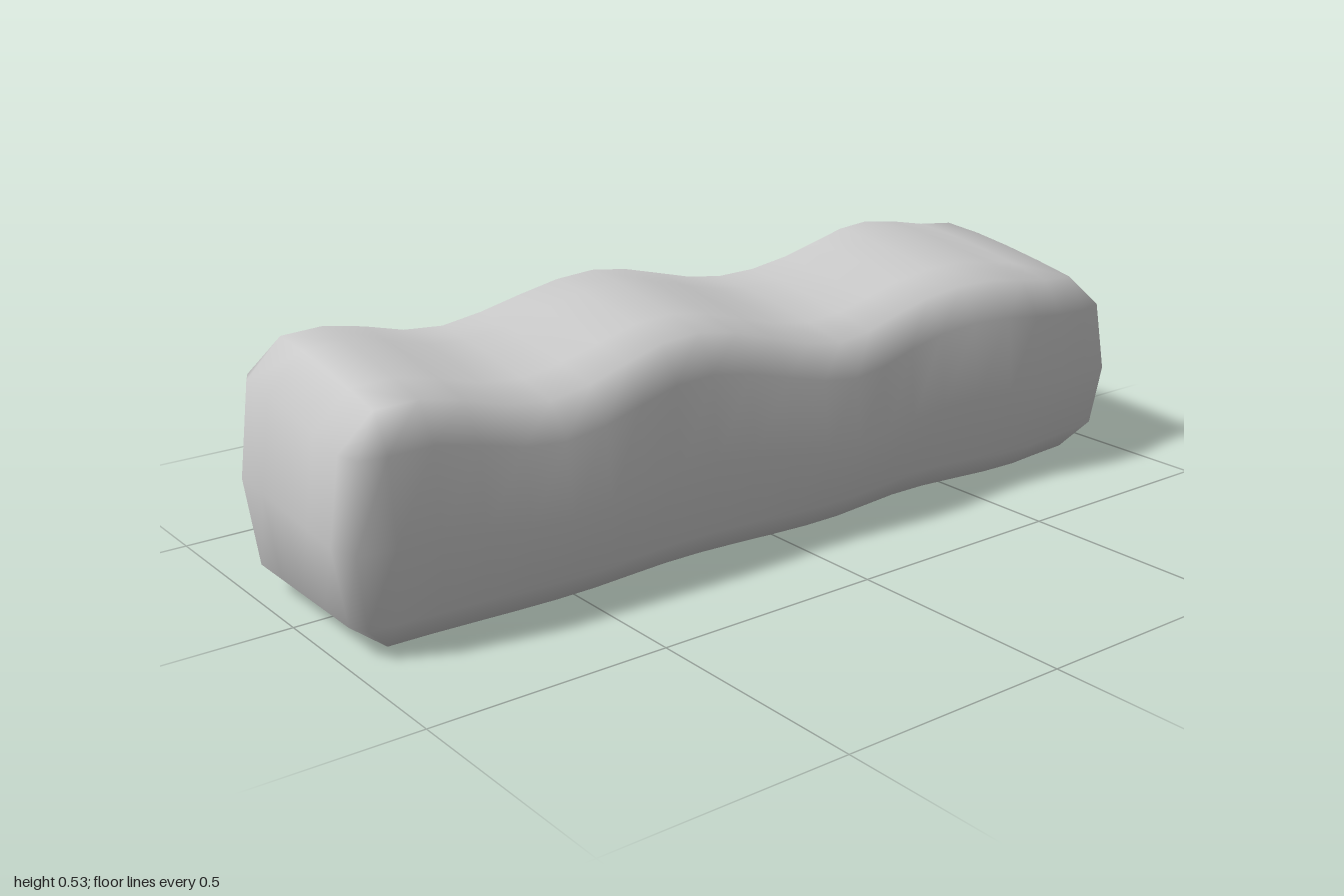
import * as THREE from 'three';
import { mergeVertices } from 'three/addons/utils/BufferGeometryUtils.js';

// [z, value] crests and troughs along the length
const HALF_WIDTH = [[-0.9, 0.265], [-0.7, 0.287], [-0.4, 0.25], [-0.14, 0.28], [0.23, 0.246], [0.5, 0.266], [0.9, 0.242]];
const HEIGHT = [[-0.9, 0.475], [-0.6, 0.515], [-0.2, 0.45], [0.2, 0.527], [0.56, 0.463], [0.83, 0.515], [0.9, 0.511]];

// Eased blend between neighbouring crests and troughs
function wave(table, z) {
  let i = 0;
  while (i < table.length - 2 && z > table[i + 1][0]) i++;
  const [z0, v0] = table[i], [z1, v1] = table[i + 1];
  return THREE.MathUtils.lerp(v0, v1, THREE.MathUtils.smoothstep(z, z0, z1));
}

export function createModel() {
  const group = new THREE.Group();
  group.name = 'hedge';

  const nx = 6, ny = 4, nz = 22;
  const bulge = [0, 0.75, 1, 0.75, 0]; // outward swell of each level
  const level = [0, 0.12, 0.48, 0.855, 1]; // height of each level
  const box = new THREE.BoxGeometry(2, 2, 2, nx, ny, nz);
  box.deleteAttribute('normal');
  box.deleteAttribute('uv');
  const pos = box.attributes.position;

  for (let i = 0; i < pos.count; i++) {
    const a = pos.getX(i), c = pos.getZ(i);
    const row = Math.round((pos.getY(i) + 1) * ny / 2);
    // flat core, with the outermost row of each side left for the rounding
    const coreA = THREE.MathUtils.clamp(a * nx / (nx - 2), -1, 1);
    const coreZ = 0.9 * THREE.MathUtils.clamp(c * nz / (nz - 2), -1, 1);
    const onSide = Math.abs(a) > 0.999, onEnd = Math.abs(c) > 0.999;
    const w = wave(HALF_WIDTH, coreZ);
    const k = bulge[row];
    const x = 0.75 * w * coreA + (onSide ? Math.sign(a) * 0.25 * w * k * (onEnd ? 0.8 : 1) : 0);
    const z = coreZ + (onEnd ? Math.sign(c) * 0.1 * k * (onSide ? 0.75 : 1) : 0);
    // the top falls away towards +x
    const tilt = 0.055 * Math.pow(Math.max(0, (x + 0.19) / 0.38), 1.4);
    const h = wave(HEIGHT, coreZ) - tilt;
    pos.setXYZ(i, x, row === 1 ? 0.06 : level[row] * h, z);
  }

  const geometry = mergeVertices(box, 1e-4);
  geometry.computeVertexNormals();
  const hedge = new THREE.Mesh(geometry, new THREE.MeshStandardMaterial({ color: 0xcccccc }));
  hedge.name = 'hedgeBody';
  group.add(hedge);
  return group;
}
